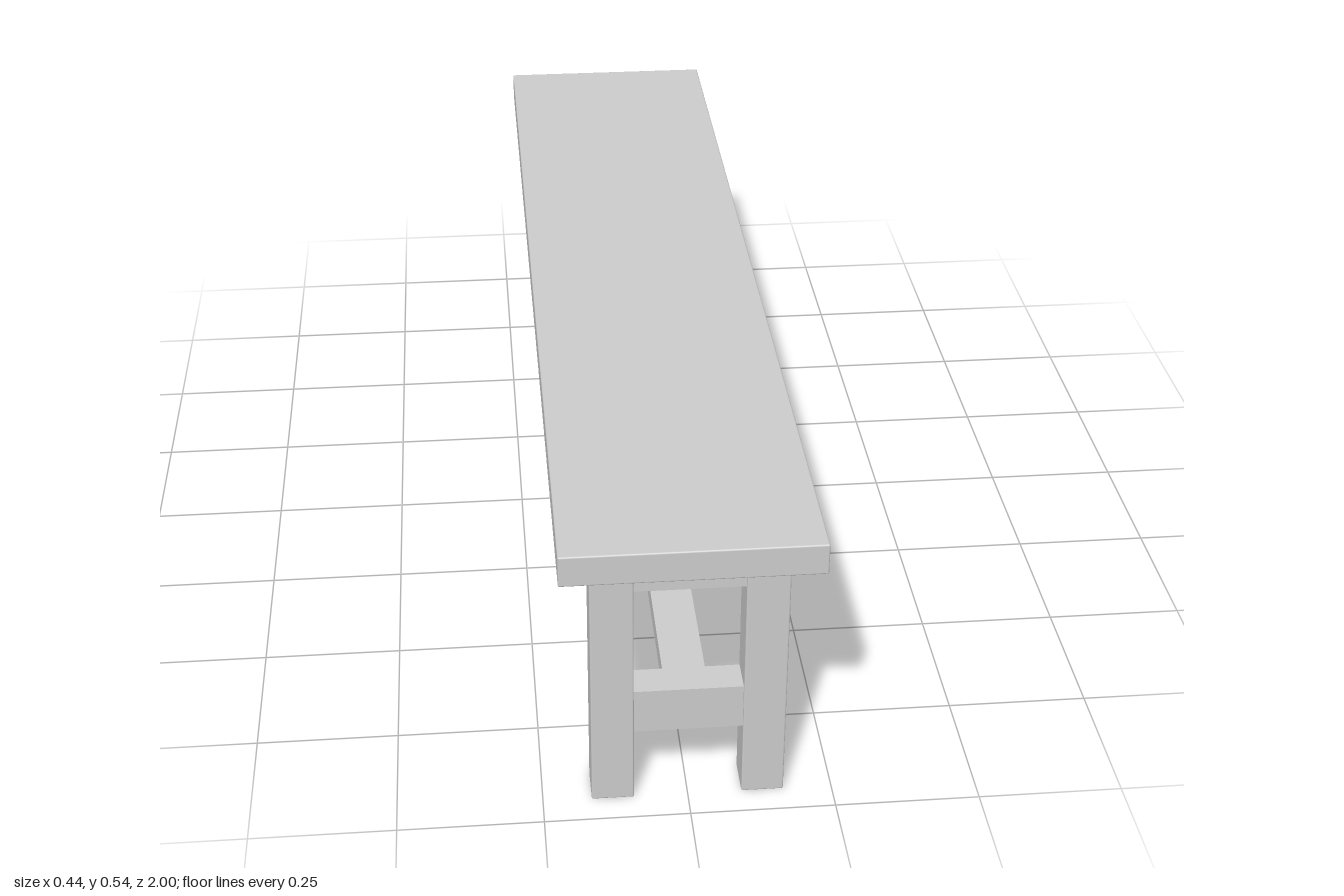
import * as THREE from 'three';
import { RoundedBoxGeometry } from 'three/addons/geometries/RoundedBoxGeometry.js';

export function createModel() {
  const bench = new THREE.Group();
  bench.name = 'bench';
  const material = new THREE.MeshStandardMaterial({ color: 0xcccccc });

  // Places a box by its min and max corners; bevel softens its edges
  function board(name, [x0, y0, z0], [x1, y1, z1], bevel = 0) {
    const size = [x1 - x0, y1 - y0, z1 - z0].map(Math.abs);
    const geometry = bevel
      ? new RoundedBoxGeometry(...size, 2, bevel)
      : new THREE.BoxGeometry(...size);
    const mesh = new THREE.Mesh(geometry, material);
    mesh.name = name;
    mesh.position.set((x0 + x1) / 2, (y0 + y1) / 2, (z0 + z1) / 2);
    bench.add(mesh);
  }

  // Seat plank
  board('seat', [-0.218, 0.485, -1], [0.218, 0.542, 1], 0.003);

  // Four legs
  for (const [side, sx] of [['left', 1], ['right', -1]]) {
    for (const [end, sz] of [['Front', 1], ['Back', -1]]) {
      board(side + end + 'Leg', [sx * 0.093, 0, sz * 0.88], [sx * 0.166, 0.485, sz * 0.95], 0.003);
    }
    // Long apron under each side of the seat
    board(side + 'Apron', [sx * 0.098, 0.41, -0.882], [sx * 0.162, 0.486, 0.882]);
  }

  // End rails joining each pair of legs
  for (const [end, sz] of [['front', 1], ['back', -1]]) {
    board(end + 'TopRail', [-0.095, 0.43, sz * 0.885], [0.095, 0.486, sz * 0.945]);
    board(end + 'LowerRail', [-0.095, 0.14, sz * 0.885], [0.095, 0.224, sz * 0.945]);
  }

  // Central stretcher between the lower rails
  board('stretcher', [-0.037, 0.165, -0.887], [0.037, 0.202, 0.887]);

  return bench;
}
